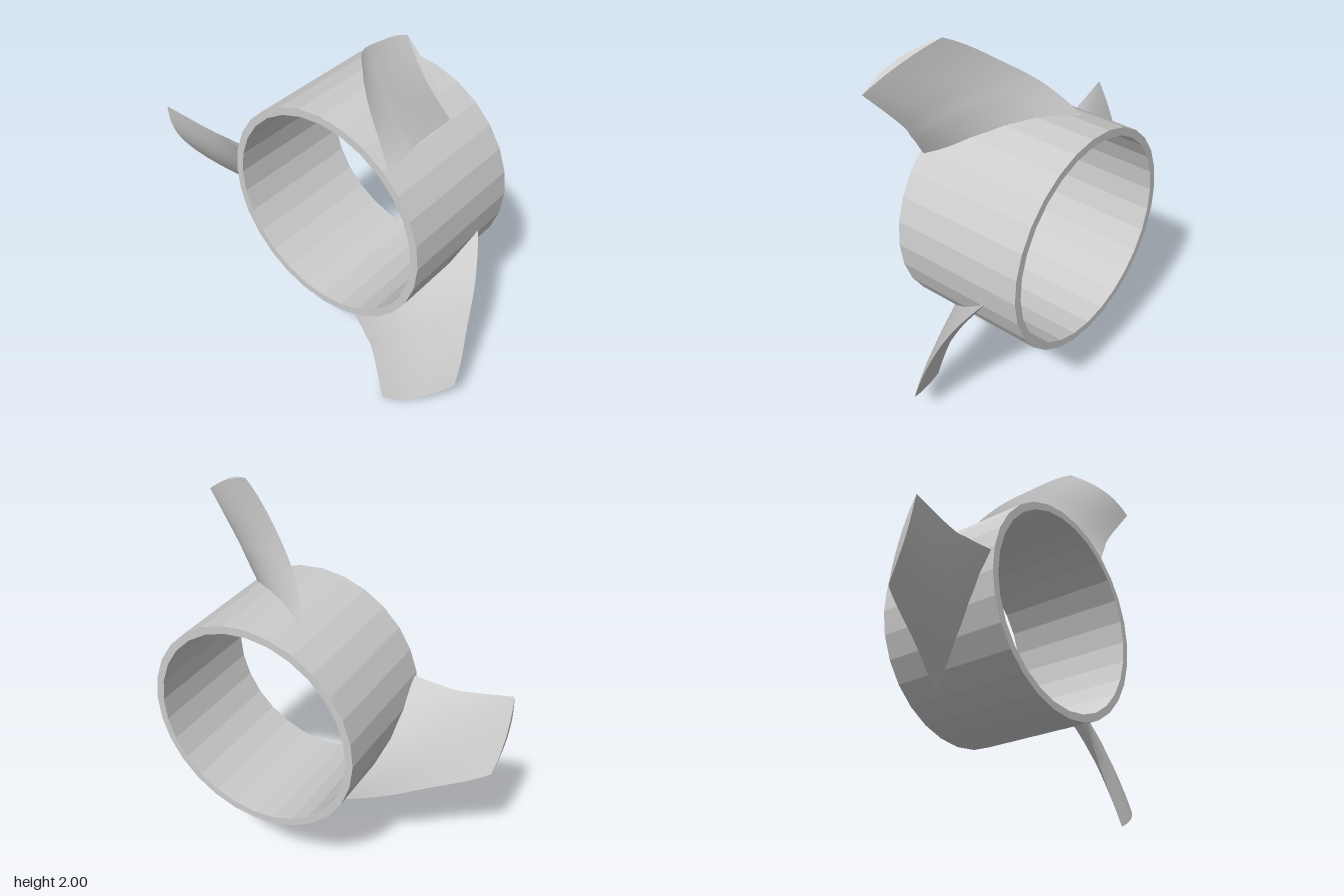
import * as THREE from 'three';

const CY = 0.99, CZ = 0.175;          // hub axis runs along x through this point
const R_OUT = 0.557, R_IN = 0.518, HALF = 0.345;

// Grid surface from f(u, v); its outside is the side that du x dv points to
function surface(f, nu, nv) {
  const pos = [], idx = [], w = nu + 1;
  for (let j = 0; j <= nv; j++)
    for (let i = 0; i <= nu; i++) pos.push(...f(i / nu, j / nv));
  for (let j = 0; j < nv; j++)
    for (let i = 0; i < nu; i++) {
      const a = j * w + i;
      idx.push(a, a + 1, a + w, a + 1, a + w + 1, a + w);
    }
  const g = new THREE.BufferGeometry();
  g.setAttribute('position', new THREE.Float32BufferAttribute(pos, 3));
  g.setIndex(idx);
  g.computeVertexNormals();
  return g;
}

// Blade edges as (radius, angle in degrees, x), from root to tip
const edge = (rows) => new THREE.CatmullRomCurve3(rows.map((r) => new THREE.Vector3(...r)));
const trailing = edge([[0.545, 11.8, -0.325], [0.7, 9.2, -0.313], [0.85, 8, -0.318], [1.065, 8.1, -0.345]]);
const leading = edge([[0.545, -49.5, 0.165], [0.7, -35.5, 0.027], [0.85, -23.5, -0.082], [1.065, -12, -0.19]]);

// Point on the blade: s across the chord, t root to tip, side +1 front or -1 back
function bladePoint(s, t, side) {
  const p = trailing.getPoint(t).lerp(leading.getPoint(t), s);
  const a = THREE.MathUtils.degToRad(p.y);
  const bulge = side > 0
    ? 0.05 * (1 - t) * Math.sin(Math.PI * Math.pow(s, 0.6))
    : -(0.06 - 0.025 * t) * Math.sin(Math.PI * s);
  return [p.z + bulge, p.x * Math.sin(a), -p.x * Math.cos(a)];
}

export function createModel() {
  const model = new THREE.Group();
  const grey = new THREE.MeshStandardMaterial({ color: 0xcccccc });
  grey.name = 'light grey';

  const rotor = new THREE.Group();
  rotor.name = 'rotor';
  rotor.position.set(0, CY, CZ);
  model.add(rotor);

  // Faceted open hub ring
  const profile = [[R_IN, -HALF], [R_OUT, -HALF], [R_OUT, HALF], [R_IN, HALF], [R_IN, -HALF]]
    .map(([r, y]) => new THREE.Vector2(r, y));
  const ringGeo = new THREE.LatheGeometry(profile, 28).toNonIndexed();
  ringGeo.rotateZ(-Math.PI / 2);
  ringGeo.computeVertexNormals();
  const ring = new THREE.Mesh(ringGeo, grey);
  ring.name = 'hubRing';
  rotor.add(ring);

  // Three swept blades: front face, back face and tip cap
  const faces = {
    bladeFront: surface((u, v) => bladePoint(u, v, 1), 16, 16),
    bladeBack: surface((u, v) => bladePoint(1 - u, v, -1), 16, 16),
    bladeTip: surface((u, v) => {
      const f = bladePoint(u, 1, 1), b = bladePoint(u, 1, -1);
      return f.map((c, k) => c + (b[k] - c) * v);
    }, 16, 1),
  };
  for (let i = 0; i < 3; i++) {
    const blade = new THREE.Group();
    blade.name = `blade${i + 1}`;
    blade.rotation.x = (i * Math.PI * 2) / 3;
    for (const [name, geo] of Object.entries(faces)) {
      const mesh = new THREE.Mesh(geo, grey);
      mesh.name = name;
      blade.add(mesh);
    }
    rotor.add(blade);
  }
  return model;
}
